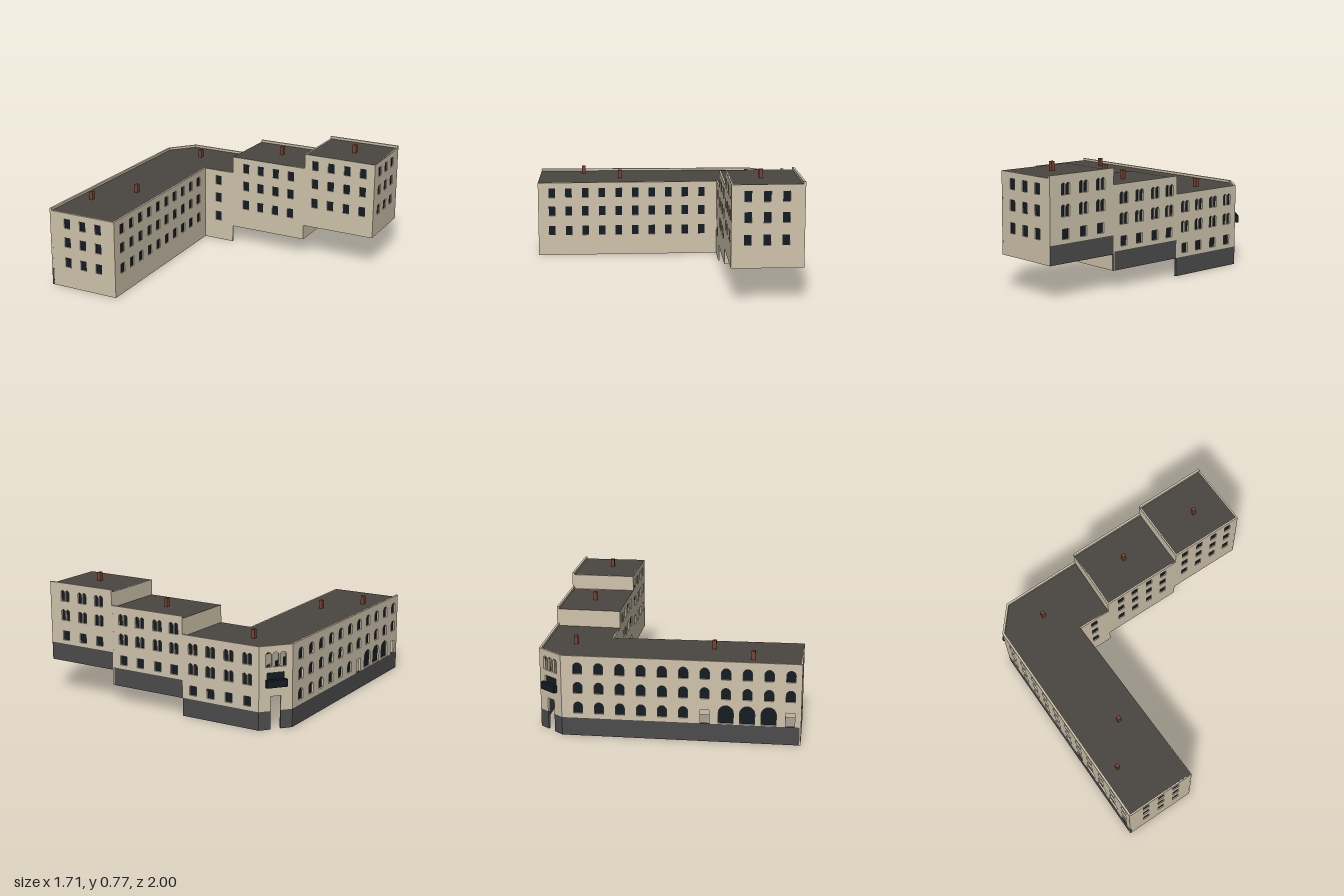
import * as THREE from 'three';

const mat = (color) => new THREE.MeshStandardMaterial({ color, side: THREE.DoubleSide });
const wallMat = mat(0xcfc4ac), plinthMat = mat(0x4c4c4c), glassMat = mat(0x141c24);
const roofMat = mat(0x4a4541), brickMat = mat(0x7a4330);

// Plan corners as [x, z]
const A = [-0.76, -0.62], B = [0.74, -1], C = [0.85, -0.58], D = [-0.36, -0.29];
const E = [-0.04, 0.88], F = [-0.5, 0.995], G = [-0.853, -0.43];
const P1 = [-0.24, -0.752], P2 = [0.27, -0.881], Q1 = [-0.15, -0.34], Q2 = [0.37, -0.465];

const PLINTH = 0.115, HEIGHT = 0.5, PARAPET = 0.015;
const ROWS = [0.17, 0.305, 0.43];

// Opening outline, rectangular or round-headed, centred on u
function trace(path, { u, y0, y1, w, arch }) {
  const r = w / 2, top = arch ? y1 - r : y1;
  path.moveTo(u - r, y0);
  path.lineTo(u + r, y0);
  path.lineTo(u + r, top);
  if (arch) path.absarc(u, top, r, 0, Math.PI, false);
  else path.lineTo(u - r, top);
  path.closePath();
  return path;
}

// Wall panel from p to q; the outside is to the right when walking p to q.
// Openings give heights above the section's base; open ones have no pane.
function wall(name, p, q, base, { y0 = 0, y1 = HEIGHT, t = 0.008, openings = [], material = wallMat, from = 0, to = 1 } = {}) {
  const g = new THREE.Group();
  g.name = name;
  const dx = q[0] - p[0], dz = q[1] - p[1], len = Math.hypot(dx, dz);
  const shape = new THREE.Shape();
  shape.moveTo(len * from, y0);
  // Openings marked notch cut through the lower edge
  for (const o of openings.filter((o) => o.notch)) {
    const u = o.f * len, r = o.w / 2;
    shape.lineTo(u - r, y0);
    shape.lineTo(u - r, o.y1);
    shape.lineTo(u + r, o.y1);
    shape.lineTo(u + r, y0);
  }
  shape.lineTo(len * to, y0);
  shape.lineTo(len * to, y1);
  shape.lineTo(len * from, y1);
  shape.closePath();
  for (const o of openings.filter((o) => !o.notch)) {
    const hole = { ...o, u: o.f * len + (o.shift || 0) };
    shape.holes.push(trace(new THREE.Path(), hole));
    if (o.open) continue;
    const pane = new THREE.Mesh(new THREE.ShapeGeometry(trace(new THREE.Shape(), hole), 6), glassMat);
    pane.name = 'windowPane';
    pane.position.z = -t * 0.8;
    g.add(pane);
  }
  const geo = new THREE.ExtrudeGeometry(shape, { depth: t, bevelEnabled: false, curveSegments: 6 });
  geo.translate(0, 0, -t);
  const body = new THREE.Mesh(geo, material);
  body.name = name + 'Body';
  g.add(body);
  g.position.set(p[0], base, p[1]);
  g.rotation.y = Math.atan2(-dz, dx);
  return g;
}

// Plain windows for the courtyard and end walls
const plain = (fractions) =>
  fractions.flatMap((f) => ROWS.map((y) => ({ f, y0: y - 0.032, y1: y + 0.032, w: 0.044 })));

// Street windows: single below, paired round-headed windows above
const paired = (fractions) =>
  fractions.flatMap((f) => [
    { f, y0: 0.14, y1: 0.2, w: 0.05 },
    ...[0.305, 0.43].flatMap((y) =>
      [-0.018, 0.018].map((shift) => ({ f, shift, y0: y - 0.034, y1: y + 0.036, w: 0.028, arch: true }))),
  ]);

function roof(points, y) {
  const s = new THREE.Shape(points.map(([x, z]) => new THREE.Vector2(x, -z)));
  const m = new THREE.Mesh(new THREE.ShapeGeometry(s).rotateX(-Math.PI / 2), roofMat);
  m.name = 'roof';
  m.position.y = y;
  return m;
}

export function createModel() {
  const model = new THREE.Group();
  model.name = 'steppedCornerBuilding';
  const street = { y0: PLINTH, y1: HEIGHT + PARAPET, t: 0.014 };
  const plinth = { y1: PLINTH, t: 0.014, material: plinthMat };
  const addStreetWall = (name, p, q, base, openings) =>
    model.add(
      wall(name, p, q, base, { ...street, openings }),
      wall(name + 'Plinth', p, q, base, plinth));

  // Long wing and corner: courtyard side
  model.add(
    wall('wingEndWall', F, E, 0, { openings: plain([0.27, 0.51, 0.75]) }),
    wall('wingCourtWall', E, D, 0, { openings: plain([...Array(10)].map((_, i) => 0.077 + 0.0931 * i)) }),
    wall('cornerCourtWall', D, Q1, 0, { openings: plain([0.48]) }));

  // Long street wall: eleven bays with doors and three large arches
  const bays = [...Array(11)].map((_, i) => 0.955 - 0.0885 * i);
  const longOpenings = bays.flatMap((f, i) => {
    const upper = [0.31, 0.435].map((y) => ({ f, y0: y - 0.036, y1: y + 0.036, w: 0.056, arch: true }));
    let ground = { f, y0: 0.145, y1: 0.218, w: 0.056, arch: true };
    if (i === 0 || i === 4) ground = { f, y1: 0.205, w: 0.055, notch: true };
    else if (i < 4) ground = { f, y0: 0.12, y1: 0.235, w: 0.092, arch: true };
    return [...upper, ground];
  });
  longOpenings.sort((a, b) => a.f - b.f);
  addStreetWall('longStreetWall', G, F, 0, longOpenings);

  // Cut corner: doorway, balcony and open upper loggia
  model.add(
    wall('cornerWall', A, G, 0, {
      ...street,
      openings: [
        { f: 0.5, y1: 0.205, w: 0.064, notch: true },
        { f: 0.5, y0: 0.265, y1: 0.35, w: 0.11 },
        ...[-0.046, 0, 0.046].map((shift) => ({ f: 0.5, shift, y0: 0.385, y1: 0.475, w: 0.038, arch: true, open: true })),
      ],
    }),
    wall('cornerPlinth', A, G, 0, { ...plinth, to: 0.35 }),
    wall('cornerPlinth', A, G, 0, { ...plinth, from: 0.65 }));
  const balcony = new THREE.Mesh(new THREE.BoxGeometry(0.13, 0.045, 0.028), glassMat);
  balcony.name = 'balcony';
  balcony.position.set((A[0] + G[0]) / 2 - 0.0125, 0.287, (A[1] + G[1]) / 2 - 0.006);
  balcony.rotation.y = Math.atan2(-(G[1] - A[1]), G[0] - A[0]);
  model.add(balcony);

  addStreetWall('lowerBackWall', P1, A, 0, paired([0.14, 0.37, 0.61, 0.85]));
  model.add(roof([G, A, P1, Q1, D, E, F], HEIGHT));

  // Middle section, one step up
  const mid = 0.113;
  model.add(
    wall('middleCourtWall', Q1, Q2, mid, { openings: plain([0.19, 0.395, 0.605, 0.815]) }),
    wall('middleEastWall', Q2, P2, mid),
    wall('middleWestWall', P1, Q1, mid),
    roof([P1, P2, Q2, Q1], mid + HEIGHT));
  addStreetWall('middleBackWall', P2, P1, mid, paired([0.16, 0.4, 0.65, 0.88]));

  // Upper section, two steps up
  const high = 0.212;
  model.add(
    wall('upperCourtWall', Q2, C, high, { openings: plain([0.156, 0.385, 0.615, 0.84]) }),
    wall('upperEndWall', C, B, high, { openings: plain([0.226, 0.488, 0.745]) }),
    wall('upperWestWall', P2, Q2, high),
    roof([P2, B, C, Q2], high + HEIGHT));
  addStreetWall('upperBackWall', B, P2, high, paired([0.24, 0.52, 0.79]));

  // Chimneys
  for (const [x, z, base] of [[-0.56, -0.46, 0], [-0.345, 0.385, 0], [-0.46, 0.675, 0], [0.06, -0.61, mid], [0.59, -0.715, high]]) {
    const chimney = new THREE.Mesh(new THREE.BoxGeometry(0.024, 0.055, 0.024), brickMat);
    chimney.name = 'chimney';
    chimney.position.set(x, base + HEIGHT + 0.0275, z);
    chimney.rotation.y = 0.245;
    model.add(chimney);
  }
  return model;
}
